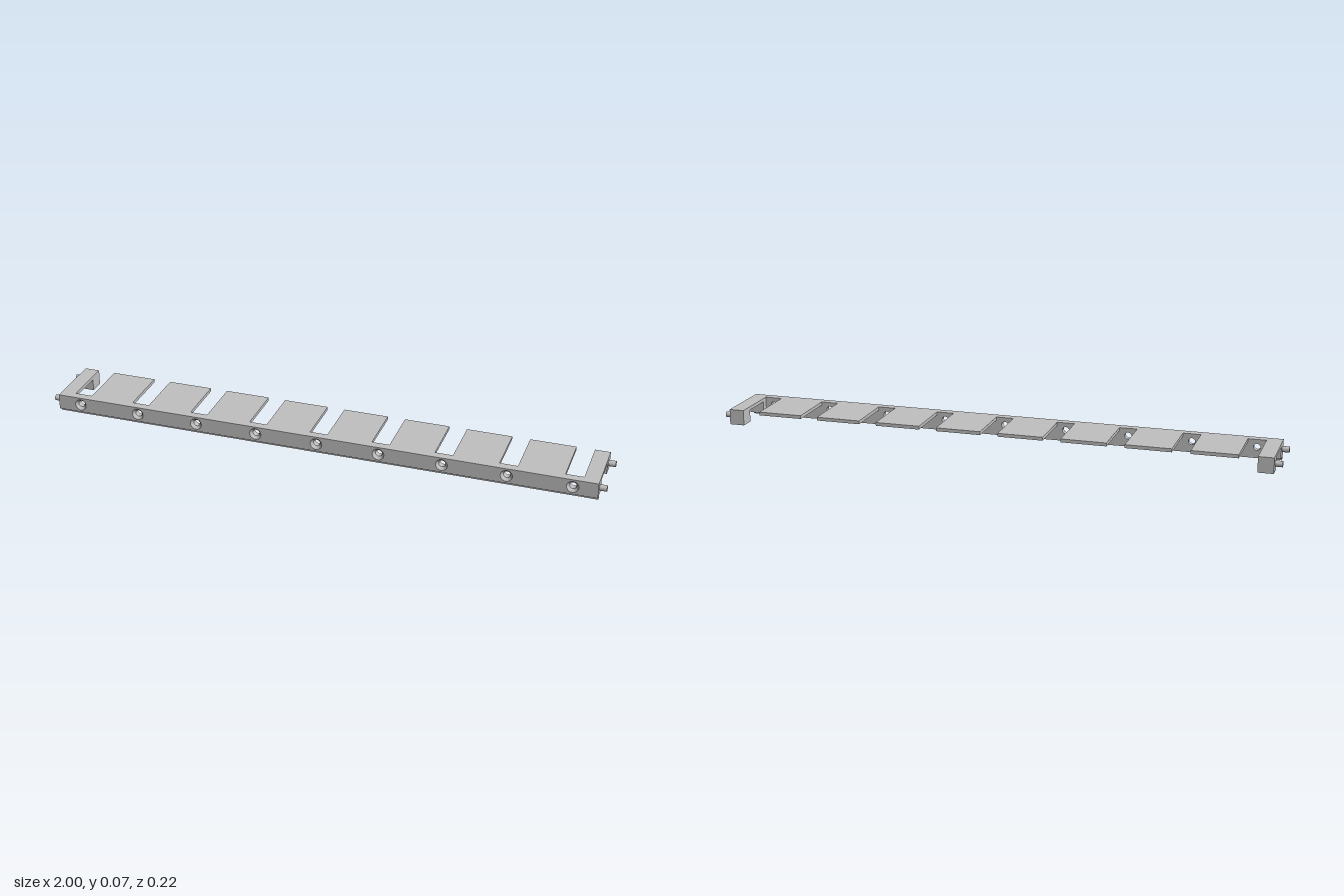
import * as THREE from 'three';

const HALF = 0.975;                 // half length of the body, without pins
const BOTTOM = 0.012, TOP = 0.067, PLATE = 0.055;
const FRONT = 0.11, RAIL_BACK = 0.08, BACK = -0.11;
const PITCH = 0.2225, SLOT = 0.0625, HOLE_Y = 0.04;
const R_OUT = 0.021, R_IN = 0.012, SINK = 0.01;

export function createModel() {
  const group = new THREE.Group();
  const grey = new THREE.MeshStandardMaterial({ color: 0xc0c0c0 });
  grey.name = 'light grey';

  const add = (name, geometry) => {
    const mesh = new THREE.Mesh(geometry, grey);
    mesh.name = name;
    group.add(mesh);
    return mesh;
  };
  // Box given by its extents on each axis
  const block = (name, x0, x1, y0, y1, z0, z1) =>
    add(name, new THREE.BoxGeometry(x1 - x0, y1 - y0, z1 - z0))
      .position.set((x0 + x1) / 2, (y0 + y1) / 2, (z0 + z1) / 2);

  const holes = Array.from({ length: 9 }, (_, i) => (i - 4) * PITCH);

  // Front rail with countersunk holes
  const face = new THREE.Shape([
    new THREE.Vector2(-HALF, BOTTOM), new THREE.Vector2(HALF, BOTTOM),
    new THREE.Vector2(HALF, TOP), new THREE.Vector2(-HALF, TOP),
  ]);
  for (const x of holes) {
    face.holes.push(new THREE.Path().absarc(x, HOLE_Y, R_OUT, 0, Math.PI * 2, true));
  }
  const depth = FRONT - RAIL_BACK;
  const rail = new THREE.ExtrudeGeometry(face, { depth, steps: 2, bevelEnabled: false, curveSegments: 10 });
  const p = rail.attributes.position;
  for (let i = 0; i < p.count; i++) {
    const z = p.getZ(i);
    if (z > depth - 0.001) continue;
    if (z > 0.001) p.setZ(i, depth - SINK);
    // Narrow each hole behind its front rim
    const cx = Math.round(p.getX(i) / PITCH) * PITCH;
    const dx = p.getX(i) - cx, dy = p.getY(i) - HOLE_Y;
    if (Math.hypot(dx, dy) < R_OUT + 0.001) {
      p.setXY(i, cx + dx * R_IN / R_OUT, HOLE_Y + dy * R_IN / R_OUT);
    }
  }
  rail.computeVertexNormals();
  add('frontRail', rail).position.z = RAIL_BACK;

  // Narrow lip under the rail
  block('bottomLip', -HALF, HALF, 0, BOTTOM, 0.084, 0.097);

  // Flat tabs between the holes
  for (let i = 0; i < 8; i++) {
    block('tab', holes[i] + SLOT / 2, holes[i + 1] - SLOT / 2, PLATE, TOP, BACK, RAIL_BACK);
  }

  // End arms, their posts and locating pins
  for (const s of [-1, 1]) {
    const inner = holes[8] + SLOT / 2;
    const [x0, x1] = s > 0 ? [inner, HALF] : [-HALF, -inner];
    block('endArm', x0, x1, PLATE, TOP, BACK, RAIL_BACK);
    block('frontPost', x0, x1, BOTTOM, PLATE, 0.057, RAIL_BACK);
    block('backPost', x0, x1, BOTTOM, PLATE, BACK, -0.056);
    for (const z of [0.084, -0.083]) {
      const pin = add('pin', new THREE.CylinderGeometry(0.0105, 0.0105, 1 - HALF, 12));
      pin.rotation.z = Math.PI / 2;
      pin.position.set(s * (1 + HALF) / 2, HOLE_Y, z);
    }
  }
  return group;
}
